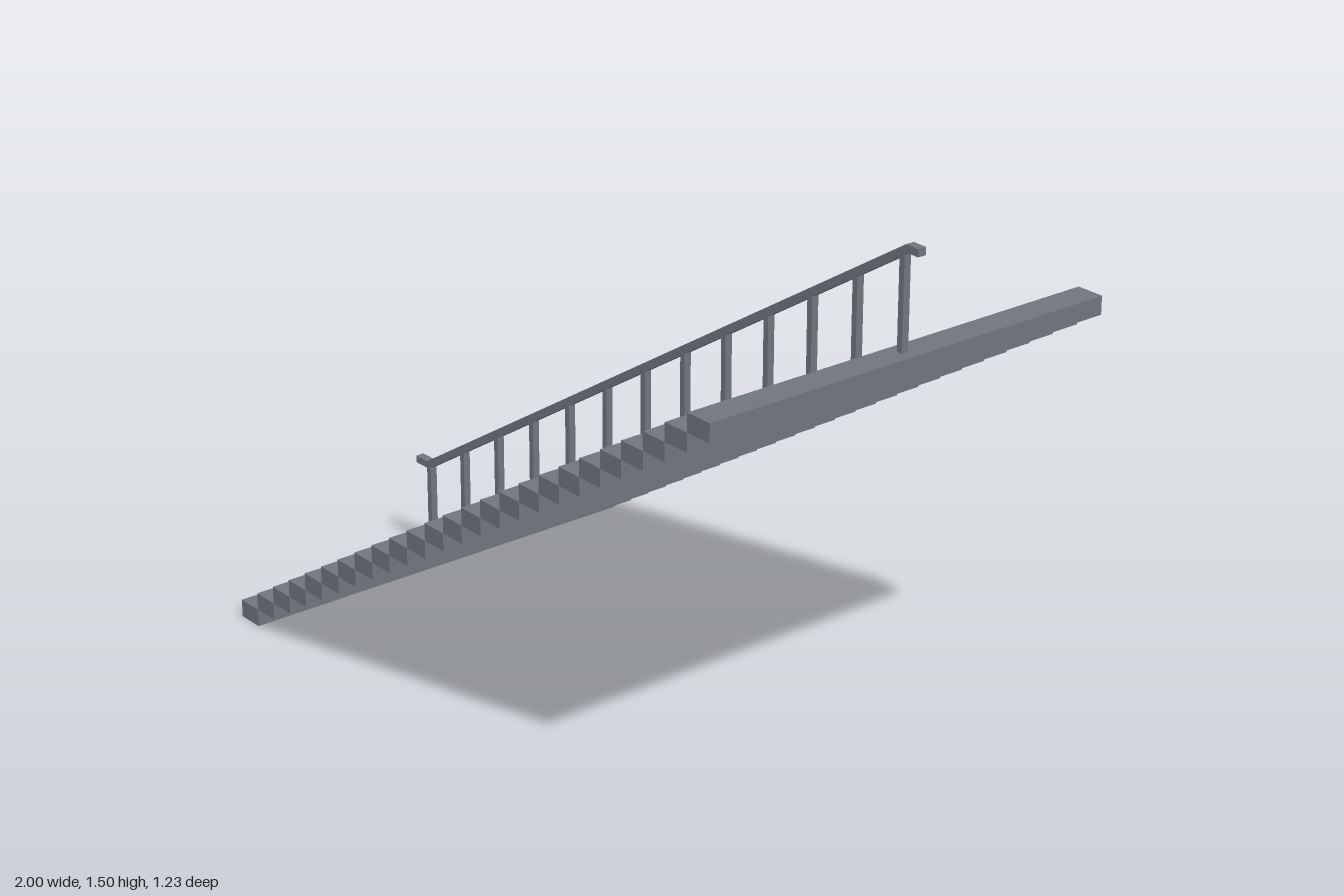
import * as THREE from 'three';

export function createModel() {
  const model = new THREE.Group();
  const stone = new THREE.MeshStandardMaterial({ color: 0x70757d });
  stone.name = 'slate grey';

  const count = 25, run = 1.967 / count, rise = 1.232 / count, depth = 1.228;
  const stepX = (i) => (i - (count - 1) / 2) * run;

  // Floating treads, each meeting the next along one edge
  const steps = new THREE.Group();
  steps.name = 'steps';
  const stepGeometry = new THREE.BoxGeometry(run, rise, depth);
  for (let i = 0; i < count; i++) {
    const step = new THREE.Mesh(stepGeometry, stone);
    step.name = 'step';
    step.position.set(stepX(i), (i + 0.5) * rise, 0);
    steps.add(step);
  }
  model.add(steps);

  // Central handrail with a short level piece at each end
  const low = 0.304, high = 1.505, thick = 0.02, width = 0.024;
  const railShape = new THREE.Shape([
    [-1, low - thick], [-0.942, low - thick], [0.966, high - thick], [1, high - thick],
    [1, high], [0.958, high], [-0.95, low], [-1, low],
  ].map(([x, y]) => new THREE.Vector2(x, y)));
  const railGeometry = new THREE.ExtrudeGeometry(railShape, { depth: width, bevelEnabled: false });
  railGeometry.translate(0, 0, -width / 2);
  const rail = new THREE.Mesh(railGeometry, stone);
  rail.name = 'handrail';
  model.add(rail);

  // Posts on every second step, ending inside the rail
  const posts = new THREE.Group();
  posts.name = 'posts';
  for (let i = 0; i < count; i += 2) {
    const x = stepX(i), bottom = (i + 1) * rise;
    const top = low - thick / 2 + (x + 0.946) * (high - low) / 1.908;
    const post = new THREE.Mesh(new THREE.BoxGeometry(0.017, top - bottom, 0.02), stone);
    post.name = 'post';
    post.position.set(x, (top + bottom) / 2, 0);
    posts.add(post);
  }
  model.add(posts);
  return model;
}
